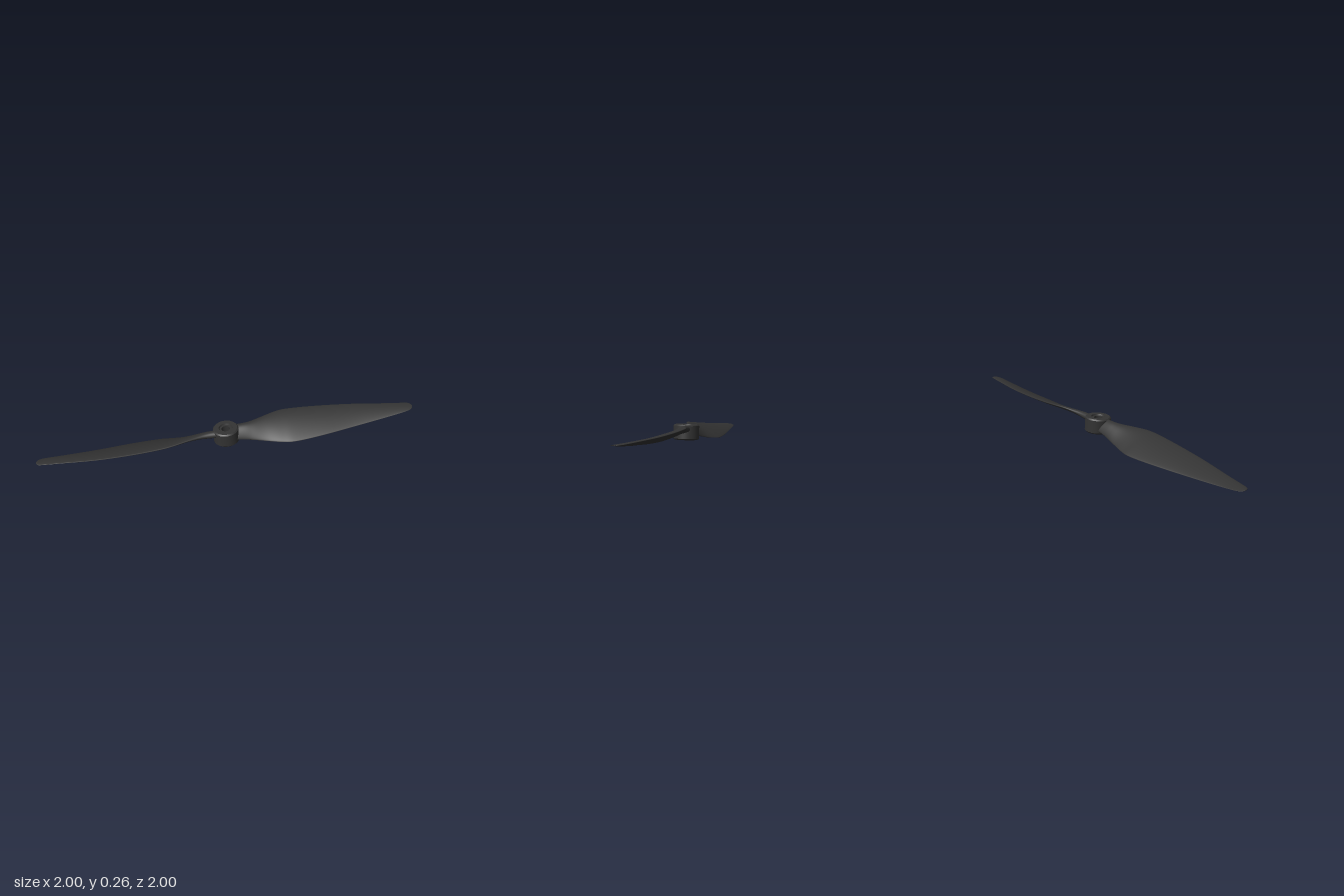
import * as THREE from 'three';

const material = new THREE.MeshStandardMaterial({ color: 0x333333 });

// Blade stations: span, back edge z, back edge y, front edge z, front edge y, thickness
const STATIONS = [
  [0.065, -0.05, 0.022, 0.055, -0.025, 0.055],
  [0.14, -0.05, 0.028, 0.062, -0.034, 0.052],
  [0.2, -0.058, 0.036, 0.072, -0.042, 0.044],
  [0.29, -0.083, 0.046, 0.092, -0.054, 0.034],
  [0.4, -0.118, 0.05, 0.12, -0.062, 0.029],
  [0.5, -0.13, 0.046, 0.134, -0.063, 0.027],
  [0.7, -0.127, 0.034, 0.122, -0.054, 0.023],
  [0.95, -0.106, 0.02, 0.092, -0.041, 0.018],
  [1.2, -0.066, 0.008, 0.065, -0.023, 0.013],
  [1.33, -0.046, 0.003, 0.05, -0.011, 0.009],
  [1.38, -0.035, 0.001, 0.036, -0.006, 0.007],
  [1.397, -0.012, 0, 0.014, -0.003, 0.004],
  [1.399, 0, -0.001, 0, -0.001, 0],
];

const spline = (pick) =>
  new THREE.CatmullRomCurve3(STATIONS.map((s) => new THREE.Vector3(...pick(s))), false, 'catmullrom', 0.5);

// Twisted aerofoil swept along the span between its two edge curves
function bladeGeometry(rings = 72, sides = 32) {
  const back = spline((s) => [s[0], s[2], s[1]]);
  const front = spline((s) => [s[0], s[4], s[3]]);
  const thickness = spline((s) => [s[0], s[5], 0]);
  const positions = [];
  const indices = [];
  const p = new THREE.Vector3();
  for (let i = 0; i <= rings; i++) {
    const t = i / rings;
    const b = back.getPoint(t);
    const f = front.getPoint(t);
    const th = Math.max(0, thickness.getPoint(t).y);
    for (let j = 0; j < sides; j++) {
      const a = (j / sides) * Math.PI * 2;
      const chord = (1 - Math.cos(a)) / 2;
      const camber = 0.35 * th * Math.sin(a) ** 2;
      p.lerpVectors(b, f, chord);
      p.y += th * 0.5 * Math.sin(a) * (1.2 - 0.5 * chord) + camber;
      positions.push(p.x, p.y, p.z);
      if (i === rings) continue;
      const k = (j + 1) % sides;
      const r0 = i * sides;
      const r1 = r0 + sides;
      indices.push(r0 + j, r0 + k, r1 + j, r0 + k, r1 + k, r1 + j);
    }
  }
  const geometry = new THREE.BufferGeometry();
  geometry.setAttribute('position', new THREE.Float32BufferAttribute(positions, 3));
  geometry.setIndex(indices);
  geometry.computeVertexNormals();
  return geometry;
}

// Chamfered ring with a countersunk shaft hole; each edge is its own band to stay crisp
function hubParts() {
  const profile = [
    [0.031, -0.046], [0.045, -0.056], [0.085, -0.056], [0.094, -0.047],
    [0.094, 0.047], [0.085, 0.056], [0.05, 0.056], [0.046, 0.046], [0.031, 0.046], [0.031, -0.046],
  ].map(([r, y]) => new THREE.Vector2(r, y));
  const hub = new THREE.Group();
  hub.name = 'hub';
  for (let i = 0; i < profile.length - 1; i++) {
    const band = new THREE.Mesh(new THREE.LatheGeometry([profile[i], profile[i + 1]], 48), material);
    band.name = 'hubBand';
    hub.add(band);
  }
  return hub;
}

export function createModel() {
  const model = new THREE.Group();
  model.name = 'propeller';

  // Everything sits on a diagonal, slightly tilted axis
  const rotor = new THREE.Group();
  rotor.name = 'rotor';
  rotor.position.y = 0.129;
  rotor.rotation.set(0, Math.PI / 4, 0.0885);
  model.add(rotor);

  rotor.add(hubParts());

  // Two identical blades, half a turn apart
  const geometry = bladeGeometry();
  ['raisedBlade', 'loweredBlade'].forEach((name, i) => {
    const blade = new THREE.Mesh(geometry, material);
    blade.name = name;
    blade.rotation.y = i * Math.PI;
    rotor.add(blade);
  });
  return model;
}
